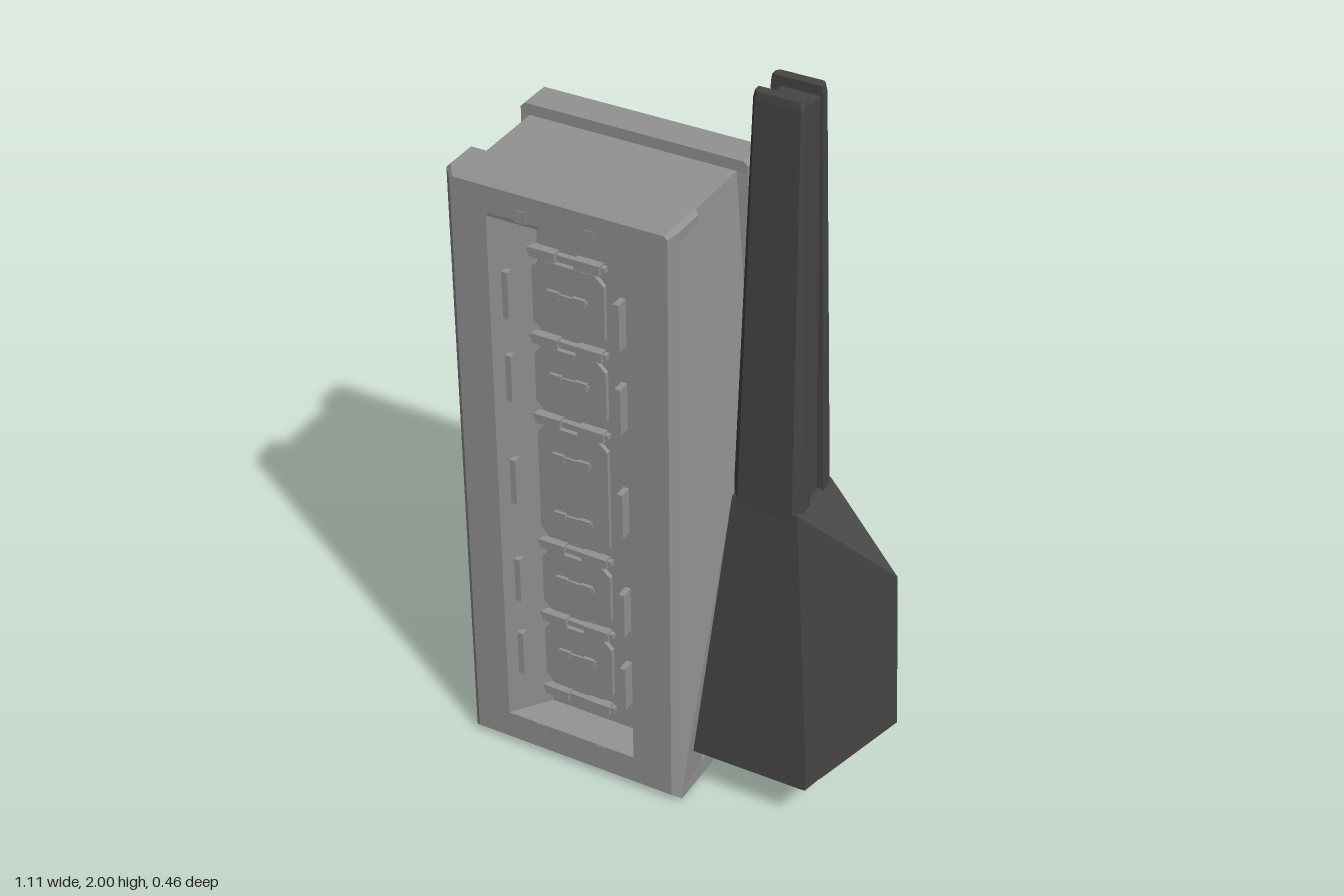
import * as THREE from 'three';
import { ConvexGeometry } from 'three/addons/geometries/ConvexGeometry.js';

const grey = new THREE.MeshStandardMaterial({ color: 0x929292, flatShading: true });
const dark = new THREE.MeshStandardMaterial({ color: 0x444544, flatShading: true });

function add(parent, name, geometry, material = grey) {
  const mesh = new THREE.Mesh(geometry, material);
  mesh.name = name;
  parent.add(mesh);
  return mesh;
}

// Joins rings with equal point counts and caps both ends.
function loft(rings) {
  const pos = [];
  const n = rings[0].length;
  const tri = (a, b, c) => pos.push(...a, ...b, ...c);
  for (let r = 0; r < rings.length - 1; r++) {
    for (let i = 0; i < n; i++) {
      const j = (i + 1) % n, a = rings[r], b = rings[r + 1];
      tri(a[i], a[j], b[j]);
      tri(a[i], b[j], b[i]);
    }
  }
  const first = rings[0], last = rings[rings.length - 1];
  for (let i = 1; i < n - 1; i++) {
    tri(first[0], first[i + 1], first[i]);
    tri(last[0], last[i], last[i + 1]);
  }
  const g = new THREE.BufferGeometry();
  g.setAttribute('position', new THREE.Float32BufferAttribute(pos, 3));
  g.computeVertexNormals();
  return g;
}

// Rectangle with its two top corners cut
const slabRing = (x0, x1, y0, y1, c, z) => [
  [x0, y0, z], [x1, y0, z], [x1, y1 - c, z], [x1 - c, y1, z], [x0 + c, y1, z], [x0, y1 - c, z]];

// Rectangle with all corners cut
const octagon = (x0, x1, y0, y1, c, z) => [
  [x0 + c, y0, z], [x1 - c, y0, z], [x1, y0 + c, z], [x1, y1 - c, z],
  [x1 - c, y1, z], [x0 + c, y1, z], [x0, y1 - c, z], [x0, y0 + c, z]];

function box(parent, name, x0, x1, y0, y1, z0, z1) {
  const m = add(parent, name, new THREE.BoxGeometry(x1 - x0, y1 - y0, z1 - z0));
  m.position.set((x0 + x1) / 2, (y0 + y1) / 2, (z0 + z1) / 2);
}

const hull = (points) => new ConvexGeometry(points.map((p) => new THREE.Vector3(...p)));

// Convex solid mirrored across z = 0
const mirroredHull = (points) => hull(points.flatMap(([x, y, z]) => [[x, y, z], [x, y, -z]]));

// One half of the casing: a bevelled slab with a deep sloped recess
function sidePanel() {
  const g = new THREE.Group();
  g.name = 'sidePanel';
  add(g, 'casingSlab', loft([
    slabRing(-0.555, 0.06, 0, 1.7, 0.012, 0.12),
    slabRing(-0.555, 0.06, 0, 1.7, 0.012, 0.21),
    slabRing(-0.535, 0.04, 0.02, 1.68, 0.008, 0.23),
    slabRing(-0.44, -0.07, 0.1, 1.61, 0.01, 0.23),
    slabRing(-0.34, -0.1, 0.14, 1.57, 0.01, 0.172),
  ]));

  // Tiles with small bars
  const gaps = [0.19, 0.43, 0.66, 1.04, 1.27, 1.51];
  for (let i = 0; i < gaps.length - 1; i++) {
    const y0 = gaps[i] + 0.022, y1 = gaps[i + 1] - 0.022, mid = (y0 + y1) / 2;
    add(g, 'tile', loft([
      octagon(-0.35, -0.155, y0, y1, 0.025, 0.16),
      octagon(-0.35, -0.155, y0, y1, 0.025, 0.184),
    ]));
    for (const y of i === 2 ? [mid - 0.088, mid + 0.088] : [mid + 0.015]) {
      box(g, 'tileBar', -0.31, -0.2, y - 0.006, y + 0.006, 0.175, 0.19);
      for (const x of [-0.29, -0.22])
        box(g, 'tileBarClip', x - 0.016, x + 0.016, y - 0.011, y + 0.011, 0.175, 0.193);
    }
    // Tabs along the recess walls
    for (const x of [-0.4, -0.1])
      box(g, 'edgeTab', x - 0.008, x + 0.008, mid - 0.065, mid + 0.065, 0.19, 0.225);
  }
  // Rods between the tiles
  for (const y of gaps) {
    box(g, 'dividerRod', -0.36, -0.15, y - 0.007, y + 0.007, 0.165, 0.187);
    for (const x of [-0.315, -0.195])
      box(g, 'dividerSleeve', x - 0.035, x + 0.035, y - 0.013, y + 0.013, 0.165, 0.195);
  }
  // Pegs at both ends of the recess
  for (const x of [-0.345, -0.165])
    for (const y of [0.082, 1.622])
      box(g, 'endPeg', x - 0.014, x + 0.014, y - 0.016, y + 0.016, 0.2, 0.232);
  return g;
}

function casing() {
  const g = new THREE.Group();
  g.name = 'casing';
  const front = sidePanel(), back = sidePanel();
  back.scale.z = -1;
  g.add(front, back);
  box(g, 'core', -0.53, 0.03, 0, 1.67, -0.121, 0.121);
  box(g, 'coreSill', 0, 0.06, 0, 0.05, -0.121, 0.121);

  // Plate with a waisted groove on the outer side
  const half = [[0.12, 0], [0.12, 1.67], [0.055, 0.9], [0.06, 0.15]];
  const outline = [[-0.12, 0], ...half];
  const solid = [];
  for (const s of [1, -1]) {
    // Each cheek narrows the groove toward the middle
    solid.push([[0.12, 0], [0.12, 1.67], [0.055, 0.9], [0.06, 0.15], [0.06, 0]]
      .map(([z, y]) => new THREE.Vector2(s * z, y)));
  }
  solid.push([[-0.06, 0], [0.06, 0], [0.06, 0.15], [-0.06, 0.15]]
    .map(([z, y]) => new THREE.Vector2(z, y)));
  for (const points of solid) {
    const cheek = add(g, 'grooveCheek', new THREE.ExtrudeGeometry(
      new THREE.Shape(points), { depth: 0.03, bevelEnabled: false }));
    cheek.rotation.y = -Math.PI / 2;
    cheek.position.x = -0.525;
  }

  // Faceted hump, split by a narrowing groove, that joins the casing to the mast
  const humpHalf = hull([
    [0.055, 1.68, 0.21], [0.055, 0.02, 0.21], [0.06, 1.66, 0.21], [0.06, 0.03, 0.21],
    [0.06, 1.67, 0.12], [0.06, 0.04, 0.11], [0.03, 1.67, 0.12], [0.03, 0.04, 0.11],
    [0.135, 0.91, 0.09], [0.135, 0.91, 0.055], [0.03, 0.91, 0.055],
  ]);
  for (const s of [1, -1]) add(g, 'humpHalf', humpHalf).scale.z = s;
  add(g, 'humpGrooveFloor', mirroredHull([
    [0.02, 1.67, 0.12], [0.03, 1.67, 0.12], [0.02, 0.05, 0.11], [0.05, 0.05, 0.11],
    [0.12, 0.91, 0.06],
  ]));
  return g;
}

// Half of the tapering mast; cross-sections are cut at the outer corners
function mastProng() {
  const ring = (y, x0, x1, zi, zo, c) => [
    [x0 + c, y, zo], [x1 - c, y, zo], [x1, y, zo - c], [x1, y, zi], [x0, y, zi], [x0, y, zo - c]];
  return loft([
    ring(0.85, 0.128, 0.317, 0.035, 0.093, 0.02),
    ring(1.98, 0.16, 0.29, 0.032, 0.061, 0.008),
    ring(2.0, 0.163, 0.287, 0.032, 0.058, 0.008),
  ]);
}

function mast() {
  const g = new THREE.Group();
  g.name = 'mast';
  for (const s of [1, -1]) add(g, 'mastProng', mastProng(), dark).scale.z = s;
  // Set-back web between the prongs
  const web = (y, x0, x1, z) => [[x0, y, z], [x1, y, z], [x1, y, -z], [x0, y, -z]];
  add(g, 'mastWeb', loft([
    web(0.85, 0.155, 0.3, 0.045),
    web(1.975, 0.185, 0.283, 0.036),
  ]), dark);
  return g;
}

function foot() {
  const g = new THREE.Group();
  g.name = 'foot';
  // Pointed keel
  add(g, 'keel', mirroredHull([
    [0.055, 0.16, 0.162], [0.387, 0.16, 0.162], [0.414, 0.16, 0.136],
    [0.555, 0.3, 0], [0.538, 0.75, 0],
    [0.31, 0.91, 0.09], [0.13, 0.91, 0.09],
  ]), dark);
  // Rails that leave a channel underneath
  const rail = hull([
    [0.055, 0.13, 0.165], [0.385, 0.13, 0.165], [0.055, 0.13, 0.09], [0.385, 0.13, 0.09],
    [0.055, 0.162, 0.162], [0.387, 0.162, 0.162], [0.414, 0.162, 0.136],
    [0.414, 0.162, 0.07], [0.055, 0.162, 0.07],
  ]);
  for (const s of [1, -1]) add(g, 'footRail', rail, dark).scale.z = s;
  return g;
}

export function createModel() {
  const model = new THREE.Group();
  model.name = 'model';
  model.add(casing(), mast(), foot());
  return model;
}
